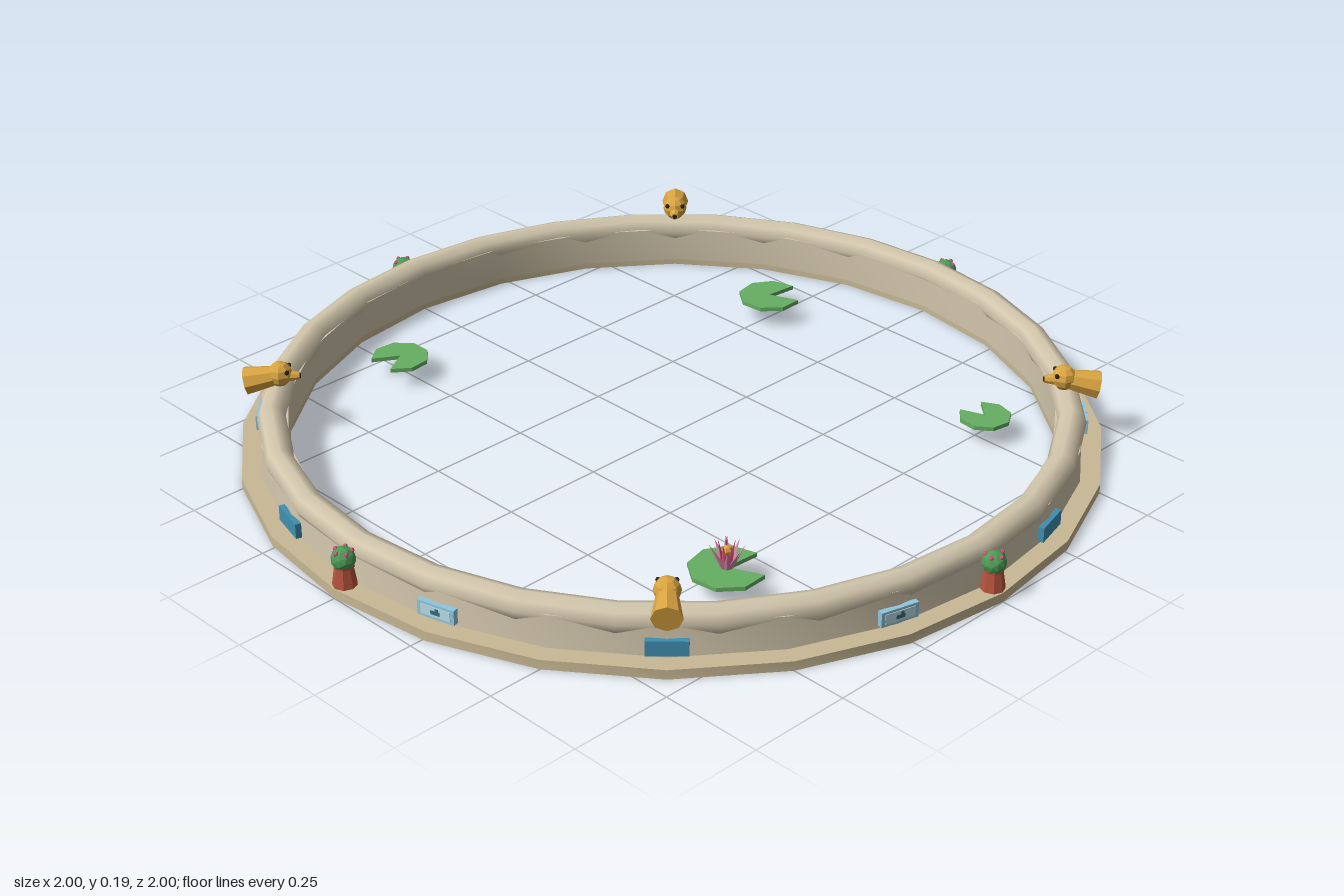
import * as THREE from 'three';
import { toCreasedNormals } from 'three/addons/utils/BufferGeometryUtils.js';

const mat = (color, flatShading = false) => new THREE.MeshStandardMaterial({ color, flatShading });
const M = {
  stone: mat(0xd2c6ac), step: mat(0xc8b894), gold: mat(0xd9a441, true), dark: mat(0x2a2018, true),
  blue: mat(0x3f8fb0), pale: mat(0x8fc6dc), white: mat(0xb9dde8), mark: mat(0x3d6a7a),
  pot: mat(0xb5523c, true), leaf: mat(0x4c9a55, true), pad: mat(0x66ae62, true),
  pink: mat(0xd987ad, true), rose: mat(0xd2527a, true), orange: mat(0xe8a03c, true),
};

function add(parent, name, geometry, material, x = 0, y = 0, z = 0) {
  const mesh = new THREE.Mesh(geometry, material);
  mesh.name = name;
  mesh.position.set(x, y, z);
  parent.add(mesh);
  return mesh;
}

// Group turned about the centre so that its local +z points outward
function spoke(parent, name, degrees) {
  const g = new THREE.Group();
  g.name = name;
  g.rotation.y = THREE.MathUtils.degToRad(degrees);
  parent.add(g);
  return g;
}

// Closed ring turned from [radius, height] points
function ring(points) {
  const profile = points.map(([r, y]) => new THREE.Vector2(r, y));
  return toCreasedNormals(new THREE.LatheGeometry(profile, 24), 0.6);
}

// Gilded spout sitting on the rim: flared body outside, head facing the water
function addSpout(parent, degrees) {
  const g = spoke(parent, 'spout', degrees);
  const body = add(g, 'spoutBody', new THREE.CylinderGeometry(0.034, 0.022, 0.08, 8), M.gold, 0, 0.144, 0.945);
  body.rotation.x = Math.PI / 2 + 0.2;
  add(g, 'spoutHead', new THREE.SphereGeometry(0.03, 8, 6), M.gold, 0, 0.155, 0.905);
  const nose = add(g, 'spoutNozzle', new THREE.CylinderGeometry(0.009, 0.014, 0.025, 8), M.gold, 0, 0.15, 0.872);
  nose.rotation.x = -Math.PI / 2;
  const mouth = add(g, 'spoutMouth', new THREE.CylinderGeometry(0.006, 0.006, 0.004, 8), M.dark, 0, 0.15, 0.859);
  mouth.rotation.x = Math.PI / 2;
  for (const s of [-1, 1]) add(g, 'spoutEye', new THREE.SphereGeometry(0.006, 6, 4), M.dark, s * 0.019, 0.167, 0.886);
}

// Flower pot standing on the step
function addPot(parent, degrees) {
  const g = spoke(parent, 'flowerPot', degrees);
  add(g, 'pot', new THREE.CylinderGeometry(0.02, 0.028, 0.05, 8), M.pot, 0, 0.048, 0.97);
  add(g, 'potRim', new THREE.CylinderGeometry(0.023, 0.023, 0.008, 8), M.pot, 0, 0.071, 0.97);
  add(g, 'foliage', new THREE.IcosahedronGeometry(0.028, 1), M.leaf, 0, 0.087, 0.97);
  for (let i = 0; i < 5; i++) {
    const a = i * Math.PI * 0.4;
    add(g, 'blossom', new THREE.IcosahedronGeometry(0.006, 0), M.rose,
      Math.sin(a) * 0.019, 0.106, 0.97 + Math.cos(a) * 0.019);
  }
}

// Wall tile, plain or with a framed emblem
function addTile(parent, degrees, framed) {
  const g = spoke(parent, 'wallTile', degrees);
  add(g, 'tile', new THREE.BoxGeometry(0.092, 0.036, 0.014), framed ? M.pale : M.blue, 0, 0.049, 0.955);
  if (!framed) return;
  add(g, 'tilePanel', new THREE.BoxGeometry(0.074, 0.024, 0.003), M.white, 0, 0.049, 0.962);
  add(g, 'tileEmblem', new THREE.BoxGeometry(0.022, 0.009, 0.004), M.mark, 0, 0.048, 0.963);
  add(g, 'tileEmblemTop', new THREE.BoxGeometry(0.008, 0.007, 0.004), M.mark, 0.004, 0.055, 0.963);
}

// Notched lily pad; notch is the direction of its cut, anticlockwise from +x
function addPad(parent, x, z, radius, notch) {
  const shape = new THREE.Shape();
  shape.moveTo(0, 0);
  const gap = 62, n = 7;
  for (let i = 0; i <= n; i++) {
    const a = THREE.MathUtils.degToRad(notch + gap / 2 + (i / n) * (360 - gap));
    shape.lineTo(Math.cos(a) * radius, Math.sin(a) * radius);
  }
  const geometry = new THREE.ExtrudeGeometry(shape, { depth: 0.01, bevelEnabled: false });
  geometry.rotateX(-Math.PI / 2);
  add(parent, 'lilyPad', geometry, M.pad, x, 0.045, z);
}

// Water lily with two whorls of upright petals
function addLily(parent, x, y, z) {
  const lily = new THREE.Group();
  lily.name = 'waterLily';
  lily.position.set(x, y, z);
  parent.add(lily);
  for (const [count, tilt, length, material, turn] of [[8, 0.5, 0.07, M.pink, 0], [5, 0.2, 0.072, M.rose, 0.3]]) {
    for (let i = 0; i < count; i++) {
      const petal = new THREE.ConeGeometry(0.011, length, 4);
      petal.scale(1, 1, 0.6);
      petal.translate(0, length / 2, 0.006);
      petal.rotateX(tilt);
      petal.rotateY(turn + (i / count) * Math.PI * 2);
      add(lily, 'petal', petal, material);
    }
  }
  add(lily, 'lilyHeart', new THREE.SphereGeometry(0.012, 6, 4), M.orange, 0, 0.045, 0);
}

export function createModel() {
  const model = new THREE.Group();
  model.name = 'fountainBasin';

  // Stone basin: low step, wall and rounded coping
  add(model, 'step', ring([[0.89, 0], [1, 0], [1, 0.023], [0.89, 0.023], [0.89, 0]]), M.step);
  add(model, 'wall', ring([[0.889, 0.015], [0.955, 0.015], [0.95, 0.1], [0.889, 0.1], [0.889, 0.015]]), M.stone);
  const coping = new THREE.TorusGeometry(0.92, 0.034, 8, 28);
  coping.rotateX(Math.PI / 2);
  add(model, 'coping', coping, M.stone, 0, 0.095, 0);

  // Ornaments repeated around the basin
  for (let i = 0; i < 4; i++) {
    addSpout(model, 45 + i * 90);
    addPot(model, i * 90);
  }
  for (let i = 0; i < 12; i++) addTile(model, 15 + i * 30, i % 2 === 0);

  // Floating plants
  addPad(model, -0.26, -0.6, 0.077, 53);
  addPad(model, 0.515, -0.515, 0.062, 170);
  addPad(model, -0.66, 0.27, 0.07, 270);
  addPad(model, 0.555, 0.38, 0.086, 55);
  addLily(model, 0.555, 0.052, 0.38);
  return model;
}
